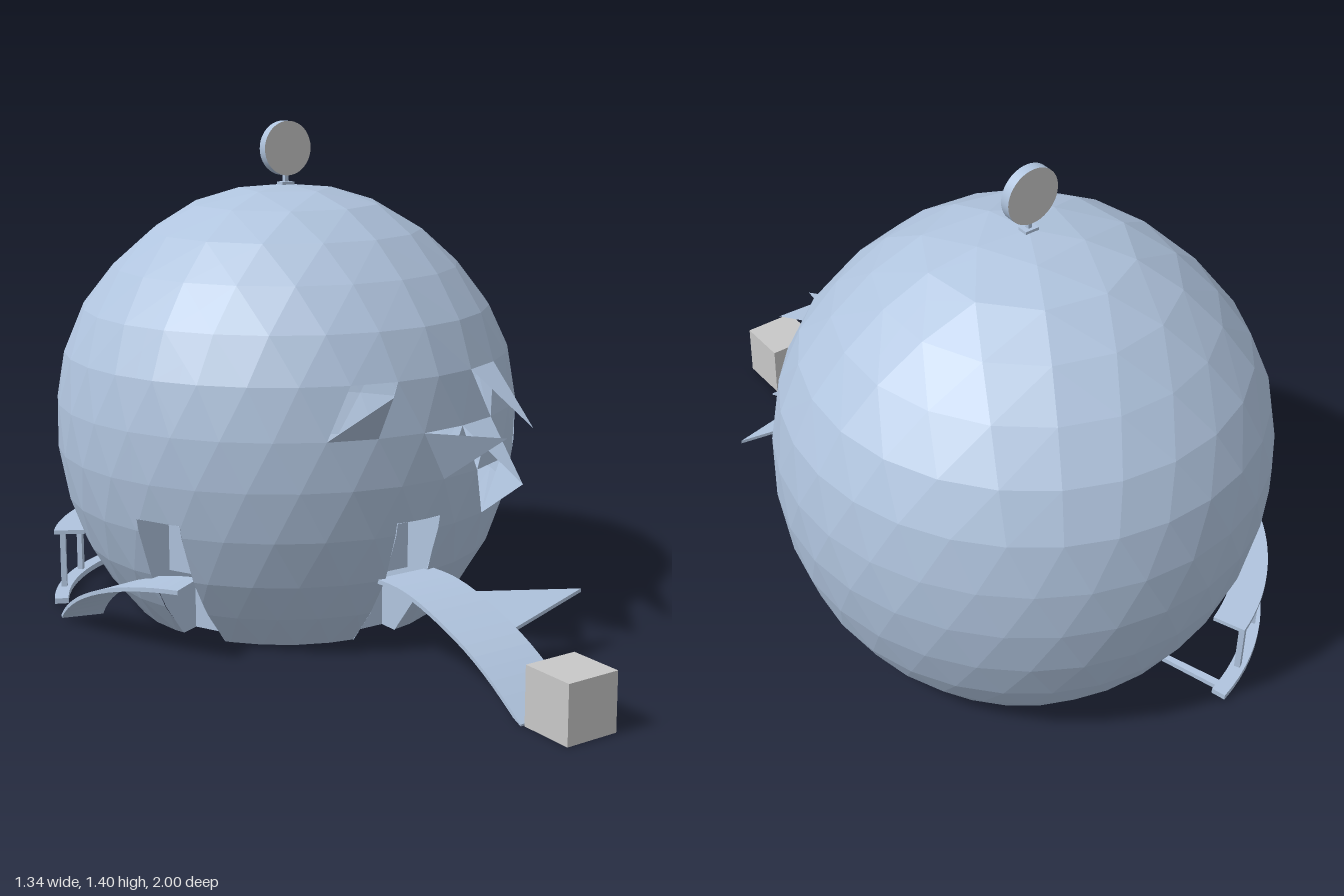
import * as THREE from 'three';

const CX = 0.005, CZ = -0.335, DEG = Math.PI / 180;
// Point at azimuth a (degrees, 0 = front, positive toward +x) around the dome axis
const polar = (r, y, a) => new THREE.Vector3(CX + r * Math.sin(a * DEG), y, CZ + r * Math.cos(a * DEG));

// Height and radius of each ring, from the top down
const RINGS = [[1.225, 0], [1.212, 0.14], [1.172, 0.27], [1.098, 0.39], [1.0, 0.495], [0.885, 0.585],
  [0.76, 0.64], [0.62, 0.664], [0.485, 0.664], [0.345, 0.64], [0.21, 0.592], [0.1, 0.527], [0, 0.445]];

// Opened window cells: row, orientation and azimuth -> pulled corner and its z
const WINDOWS = {
  '6down-12': [0, 0.46], '6up-18': [2, 0.46], '7down6': [2, 0.5],
  '7down18': [1, 0.487], '8down24': [0, 0.487], '6down24': [1, 0.45], '7up48': null,
};
const DOORS = [0, -65], DOOR_HALF = 0.07, DOOR_TOP = 0.38;

function flat(points) {
  return new THREE.BufferGeometry().setFromPoints(points);
}

function mesh(geometry, material, name) {
  const g = geometry.index ? geometry.toNonIndexed() : geometry;
  g.computeVertexNormals();
  const m = new THREE.Mesh(g, material);
  m.name = name;
  return m;
}

// Removes a convex region (list of functions, inside when < 0) from a polygon
function subtract(poly, planes) {
  const kept = [];
  for (const f of planes) {
    const inside = [], outside = [];
    poly.forEach((p, i) => {
      const q = poly[(i + 1) % poly.length], a = f(p), b = f(q);
      (a < 0 ? inside : outside).push(p);
      if ((a < 0) !== (b < 0)) {
        const c = p.clone().lerp(q, a / (a - b));
        inside.push(c);
        outside.push(c);
      }
    });
    if (outside.length > 2) kept.push(outside);
    poly = inside;
    if (poly.length < 3) break;
  }
  return kept;
}

const doorPlanes = DOORS.map((a) => {
  const s = Math.sin(a * DEG), c = Math.cos(a * DEG);
  const u = (p) => (p.x - CX) * c - (p.z - CZ) * s;
  return [(p) => -((p.x - CX) * s + (p.z - CZ) * c), (p) => u(p) - DOOR_HALF,
    (p) => -u(p) - DOOR_HALF, (p) => p.y - DOOR_TOP];
});

// Geodesic cells as [key, three corners], wound outward
function domeCells() {
  const cells = [];
  const at = (ring, a) => polar(RINGS[ring][1], RINGS[ring][0], a);
  for (let r = 0; r < 6; r++) {
    const up = r ? 72 / r : 0, low = 72 / (r + 1);
    for (let s = 0; s < 5; s++) {
      const a0 = 6 + s * 72;
      for (let j = 0; j <= r; j++) {
        cells.push(['', [at(r + 1, a0 + j * low), at(r + 1, a0 + (j + 1) * low), at(r, a0 + j * up)]]);
        if (j < r) cells.push(['', [at(r, a0 + j * up), at(r + 1, a0 + (j + 1) * low), at(r, a0 + (j + 1) * up)]]);
      }
    }
  }
  const wrap = (a) => ((a + 180) % 360 + 360) % 360 - 180;
  for (let r = 6; r < RINGS.length - 1; r++) {
    for (let k = 0; k < 30; k++) {
      const a = 6 * (r - 5) + 12 * k;
      cells.push([`${r}up${wrap(a)}`, [at(r + 1, a - 6), at(r + 1, a + 6), at(r, a)]]);
      cells.push([`${r}down${wrap(a + 6)}`, [at(r, a), at(r + 1, a + 6), at(r, a + 12)]]);
    }
  }
  return cells;
}

// Curved slab around the dome, its height following yAt(t)
function arcSlab(r0, r1, a0, a1, thick, yAt, n = 14) {
  const pts = [];
  const quad = (a, b, c, d) => pts.push(a, b, c, a, c, d);
  const section = (i) => {
    const t = i / n, a = a0 + (a1 - a0) * t, y = yAt(t);
    return [polar(r0, y, a), polar(r1, y, a), polar(r1, y + thick, a), polar(r0, y + thick, a)];
  };
  for (let i = 0; i < n; i++) {
    const p = section(i), q = section(i + 1);
    for (let k = 0; k < 4; k++) quad(p[k], q[k], q[(k + 1) % 4], p[(k + 1) % 4]);
  }
  const s = section(0), e = section(n);
  quad(s[0], s[1], s[2], s[3]);
  quad(e[3], e[2], e[1], e[0]);
  return flat(pts);
}

// Stepped recess behind a door opening
function doorway(angle, material) {
  const g = new THREE.Group();
  const back = [[0.38, 0], [0.38, 0.2], [0.5, 0.2], [0.5, DOOR_TOP]];
  const front = [[0.643, DOOR_TOP], [0.636, 0.345], [0.585, 0.21], [0.52, 0.1], [0.44, 0]];
  const outline = new THREE.Shape([...back, ...front].map(([d, y]) => new THREE.Vector2(d, y)));
  for (const side of [-1, 1]) {
    const wall = new THREE.ShapeGeometry(outline).rotateY(-Math.PI / 2).translate(side * DOOR_HALF, 0, 0);
    g.add(mesh(wall, material, 'doorJamb'));
  }
  const strip = [...back, front[0]], pts = [];
  for (let i = 0; i < strip.length - 1; i++) {
    const [d, y] = strip[i], [e, h] = strip[i + 1], w = DOOR_HALF;
    const a = new THREE.Vector3(-w, y, d), b = new THREE.Vector3(w, y, d);
    const c = new THREE.Vector3(w, h, e), f = new THREE.Vector3(-w, h, e);
    pts.push(a, b, c, a, c, f);
  }
  g.add(mesh(flat(pts), material, 'doorPanel'));
  g.position.set(CX, 0, CZ);
  g.rotation.y = angle * DEG;
  g.name = 'doorway';
  return g;
}

export function createModel() {
  const model = new THREE.Group();
  const steel = new THREE.MeshStandardMaterial({ color: 0xb0c4de, side: THREE.DoubleSide });
  steel.name = 'pale steel blue';
  const grey = new THREE.MeshStandardMaterial({ color: 0xc8c8c8 });
  grey.name = 'light grey';
  const add = (geometry, name, material = steel) => {
    const m = mesh(geometry, material, name);
    model.add(m);
    return m;
  };

  // Hollow dome shell with door openings, and pulled-out window flaps
  const shell = [], flaps = [];
  for (const [key, tri] of domeCells()) {
    if (key in WINDOWS) {
      if (WINDOWS[key]) {
        const [corner, z] = WINDOWS[key];
        tri[corner].z = z;
        flaps.push(...tri);
      }
      continue;
    }
    let polys = [tri];
    for (const planes of doorPlanes) polys = polys.flatMap((p) => subtract(p, planes));
    for (const p of polys) for (let i = 1; i < p.length - 1; i++) shell.push(p[0], p[i], p[i + 1]);
  }
  add(flat(shell), 'domeShell');
  add(flat(flaps), 'windowFlaps');
  DOORS.forEach((a) => model.add(doorway(a, steel)));

  // Front ramp: curved strip with a pointed side fin
  const path = new THREE.SplineCurve([[0.24, 0.215], [0.34, 0.215], [0.45, 0.195], [0.6, 0.145], [0.72, 0.085], [0.84, 0.005]]
    .map(([z, y]) => new THREE.Vector2(z, y))).getPoints(16);
  const profile = new THREE.Shape([...path, ...path.map((p) => new THREE.Vector2(p.x, Math.max(0, p.y - 0.012))).reverse()]);
  add(new THREE.ExtrudeGeometry(profile, { depth: 0.185, bevelEnabled: false }).rotateY(-Math.PI / 2).translate(0.1, 0, 0), 'frontRamp');
  const fin = new THREE.Shape([[0.1, 0.43], [0.4, 0.515], [0.1, 0.6]].map(([x, z]) => new THREE.Vector2(x, -z)));
  const finGeo = new THREE.ExtrudeGeometry(fin, { depth: 0.01, bevelEnabled: false }).rotateX(-Math.PI / 2);
  const fp = finGeo.attributes.position;
  for (let i = 0; i < fp.count; i++) fp.setY(i, fp.getY(i) + 0.187 - (fp.getZ(i) - 0.43) * 0.3);
  add(finGeo, 'rampFin');

  // Block at the foot of the ramp
  add(new THREE.BoxGeometry(0.156, 0.158, 0.155).translate(0.001, 0.079, 0.9225), 'block', grey);

  // Side ramp winding down around the dome
  add(arcSlab(0.56, 0.68, -58, -106, 0.012, (t) => 0.203 * (1 - t * t)), 'sideRamp');

  // Rear balcony: shelf, floor rail, posts and end tie
  add(arcSlab(0.6, 0.69, -159, -121, 0.012, () => 0.198), 'balconyShelf');
  add(arcSlab(0.65, 0.69, -165, -115, 0.016, () => 0.008), 'balconyRail');
  add(arcSlab(0.45, 0.66, -163.5, -161.5, 0.014, () => 0.009, 2), 'balconyTie');
  for (const a of [-155, -140, -125]) {
    const p = polar(0.67, 0.105, a);
    add(new THREE.BoxGeometry(0.016, 0.19, 0.016).rotateY(a * DEG).translate(p.x, p.y, p.z), 'balconyPost');
  }

  // Round sign on a short stem at the top
  add(new THREE.BoxGeometry(0.04, 0.008, 0.03).translate(CX, 1.227, CZ), 'signBase');
  add(new THREE.BoxGeometry(0.012, 0.05, 0.012).translate(CX, 1.24, CZ), 'signStem');
  const disc = new THREE.CylinderGeometry(0.077, 0.077, 0.028, 40).rotateX(Math.PI / 2).translate(CX, 1.326, CZ);
  const sign = new THREE.Mesh(disc, [steel, grey, grey]);
  sign.name = 'roundSign';
  model.add(sign);
  return model;
}
